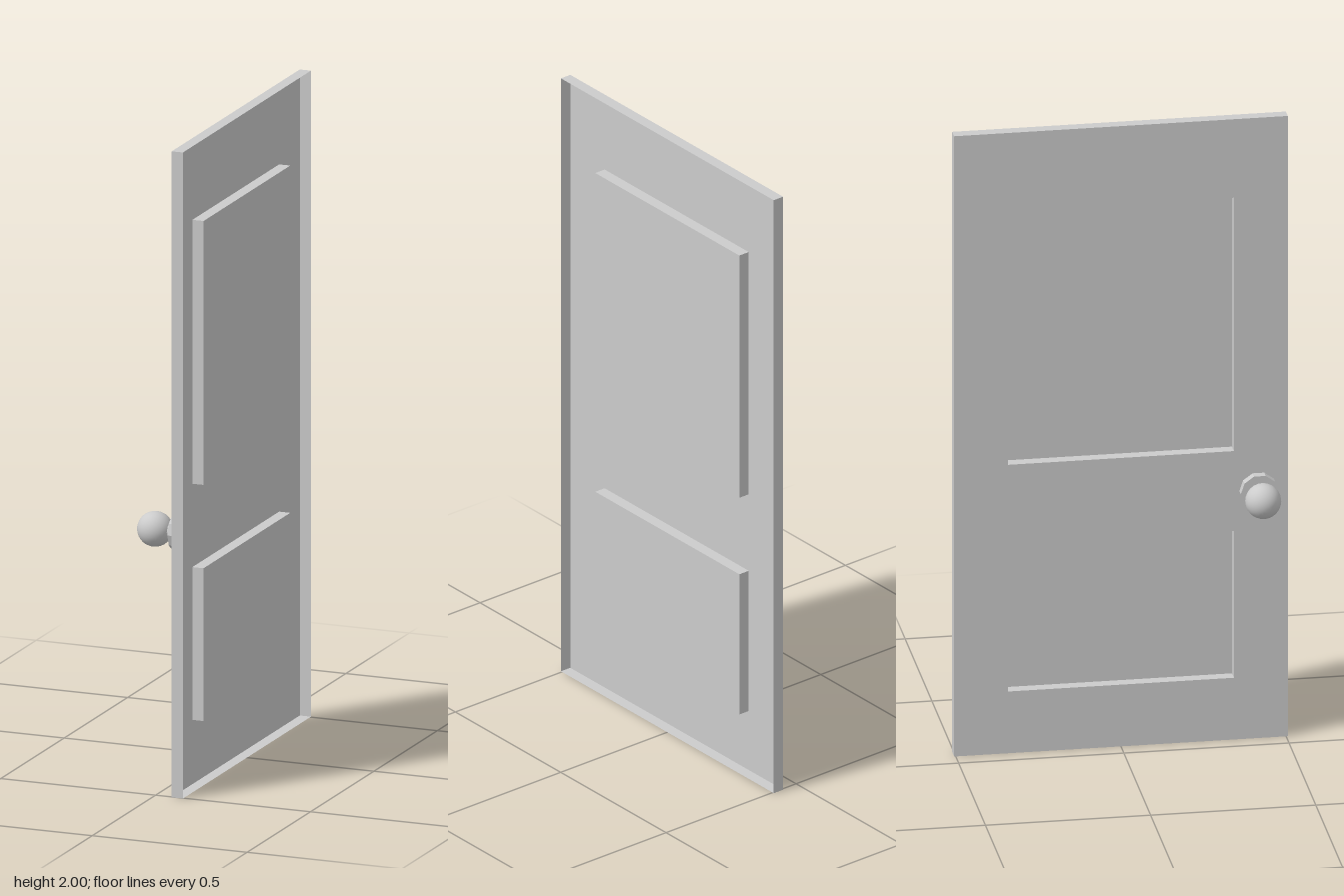
import * as THREE from 'three';

const FACE = 0.054, BACK = 0.09;         // x of the knob-side skin and of the open side
const KNOB_Y = 0.8, KNOB_Z = 0.416;
const HALF = 0.505;
const PANELS = [
  { name: 'upperPanel', w: 0.342, y0: 0.93, y1: 1.747 },
  { name: 'lowerPanel', w: 0.342, y0: 0.199, y1: 0.672 },
];

export function createModel() {
  const root = new THREE.Group();
  root.name = 'door';
  const sheet = new THREE.MeshStandardMaterial({ color: 0xcccccc, side: THREE.DoubleSide });
  const faceted = new THREE.MeshStandardMaterial({ color: 0xcccccc, flatShading: true });
  const smooth = new THREE.MeshStandardMaterial({ color: 0xcccccc });

  const add = (parent, name, geometry, material, x = 0, y = 0, z = 0) => {
    const mesh = new THREE.Mesh(geometry, material);
    mesh.name = name;
    mesh.position.set(x, y, z);
    parent.add(mesh);
    return mesh;
  };

  // Door skin, drawn flat: local x runs along world z, local -z along world x
  const leaf = new THREE.Group();
  leaf.name = 'doorLeaf';
  leaf.rotation.y = -Math.PI / 2;
  root.add(leaf);

  const trace = (path, w, y0, y1) =>
    path.moveTo(-w, y0).lineTo(w, y0).lineTo(w, y1).lineTo(-w, y1).closePath();

  // Four thin walls from the skin to the back; out = 1 faces outward, -1 inward
  const depth = BACK - FACE, mid = -(FACE + BACK) / 2;
  const walls = (parent, name, w, y0, y1, out) => {
    for (const s of [-1, 1]) {
      const side = add(parent, name + 'Side', new THREE.PlaneGeometry(depth, y1 - y0), sheet, s * w, (y0 + y1) / 2, mid);
      side.rotation.y = s * out * Math.PI / 2;
      const end = add(parent, name + 'End', new THREE.PlaneGeometry(2 * w, depth), sheet, 0, s > 0 ? y1 : y0, mid);
      end.rotation.x = -s * out * Math.PI / 2;
    }
  };

  const outline = new THREE.Shape();
  trace(outline, HALF, 0, 2);
  for (const p of PANELS) {
    const hole = new THREE.Path();
    trace(hole, p.w, p.y0, p.y1);
    outline.holes.push(hole);
  }
  add(leaf, 'doorFace', new THREE.ShapeGeometry(outline), sheet, 0, 0, -FACE);
  walls(leaf, 'doorEdge', HALF, 0, 2, 1);

  // Recessed panels, standing proud on the hollow side
  for (const p of PANELS) {
    const panel = new THREE.Group();
    panel.name = p.name;
    leaf.add(panel);
    add(panel, 'panelFloor', new THREE.PlaneGeometry(2 * p.w, p.y1 - p.y0), sheet, 0, (p.y0 + p.y1) / 2, -BACK);
    walls(panel, 'panelWall', p.w, p.y0, p.y1, -1);
  }

  // Knob: ten-sided rose and stem, round ball, all along x
  const knob = new THREE.Group();
  knob.name = 'knob';
  knob.position.set(0, KNOB_Y, KNOB_Z);
  root.add(knob);
  const rod = (name, r, x0, x1) =>
    add(knob, name, new THREE.CylinderGeometry(r, r, x1 - x0, 10).rotateZ(Math.PI / 2), faceted, (x0 + x1) / 2);
  rod('knobRose', 0.0575, 0.027, FACE - 0.0003);
  rod('knobStem', 0.025, 0, 0.03);
  add(knob, 'knobBall', new THREE.SphereGeometry(0.054, 24, 16).rotateZ(Math.PI / 2), smooth, -0.036);

  return root;
}
